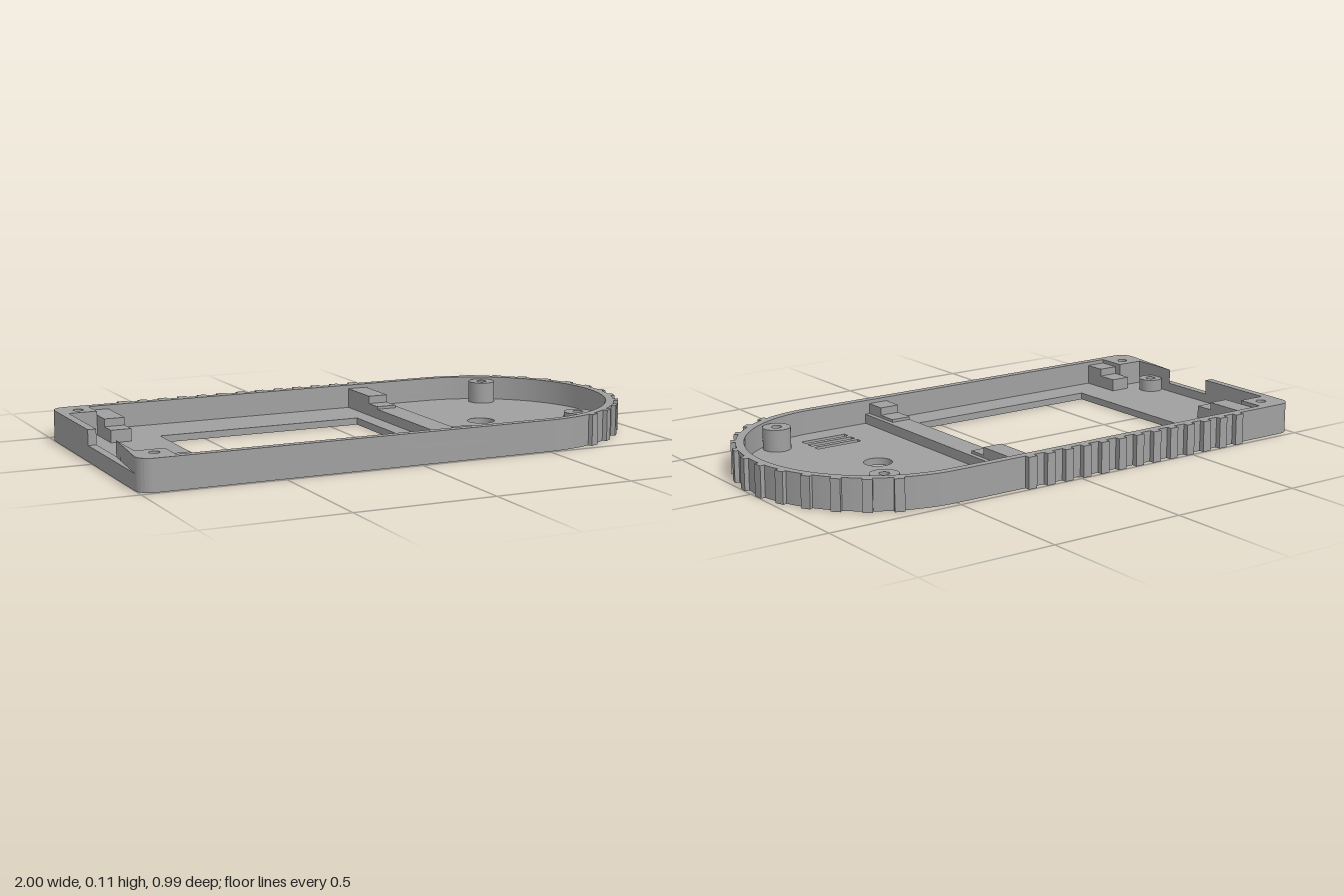
import * as THREE from 'three';
import { toCreasedNormals } from 'three/addons/utils/BufferGeometryUtils.js';

const H = 0.112, FLOOR = 0.025, SKIN = 0.012, NOTCH = 0.057;
const CX = 0.5, CZ = 0.007, R_OUT = 0.484, R_IN = 0.455;
const HALF = Math.PI / 2;

export function createModel() {
  const model = new THREE.Group();
  model.name = 'deviceCaseHalf';
  const grey = new THREE.MeshStandardMaterial({ color: 0xa0a0a0 });
  grey.name = 'grey plastic';

  const add = (name, geometry) => {
    const mesh = new THREE.Mesh(geometry, grey);
    mesh.name = name;
    model.add(mesh);
    return mesh;
  };
  // Plan shapes use (x, -z); they are extruded upward from y0 to y1
  const slab = (name, shape, y0, y1) => {
    const g = new THREE.ExtrudeGeometry(shape, { depth: y1 - y0, bevelEnabled: false, curveSegments: 28 });
    g.rotateX(-HALF).translate(0, y0, 0);
    return add(name, toCreasedNormals(g, 0.5));
  };
  const box = (name, x0, x1, y0, y1, z0, z1) => {
    const m = add(name, new THREE.BoxGeometry(x1 - x0, y1 - y0, z1 - z0));
    m.position.set((x0 + x1) / 2, (y0 + y1) / 2, (z0 + z1) / 2);
    return m;
  };
  const circle = (x, z, r) => new THREE.Path().absarc(x, -z, r, 0, Math.PI * 2, true);
  const rect = (x0, x1, z0, z1) => new THREE.Path([
    [x0, -z0], [x1, -z0], [x1, -z1], [x0, -z1], [x0, -z0],
  ].map(([x, y]) => new THREE.Vector2(x, y)));

  // Outer outline: rounded corners at one end, a half circle at the other
  const s0 = -CZ - R_OUT, s1 = -CZ + R_OUT, i0 = -CZ - R_IN, i1 = -CZ + R_IN;
  const outline = (startY, endY) => {
    const s = new THREE.Shape();
    s.moveTo(-1, startY);
    s.absarc(-0.95, s0 + 0.05, 0.05, Math.PI, 1.5 * Math.PI, false);
    s.absarc(CX, -CZ, R_OUT, -HALF, HALF, false);
    s.absarc(-0.95, s1 - 0.05, 0.05, HALF, Math.PI, false);
    s.lineTo(-1, endY);
    return s;
  };
  // Inner outline, stepping round the two solid corner blocks
  const inner = (path) => {
    path.lineTo(-0.97, 0.35);
    path.lineTo(-0.867, 0.35);
    path.lineTo(-0.867, i1);
    path.lineTo(CX, i1);
    path.absarc(CX, -CZ, R_IN, HALF, -HALF, true);
    path.lineTo(-0.867, i0);
    path.lineTo(-0.867, -0.355);
    path.lineTo(-0.97, -0.355);
    return path;
  };

  // Floor with window, round hole, vent slots and one screw hole
  const floorShape = () => {
    const s = outline(-0.1, 0.1);
    s.holes.push(rect(-0.67, 0.107, -0.24, 0.35), circle(0.5, 0.003, 0.05), circle(-0.935, 0.245, 0.018));
    for (let i = 0; i < 3; i++) s.holes.push(rect(0.405, 0.585, 0.265 + i * 0.045, 0.289 + i * 0.045));
    return s;
  };
  slab('floor', floorShape(), SKIN, FLOOR);

  // Underside skin: same openings plus shallow blind recesses
  const under = floorShape();
  for (const [x, z] of [[-0.92, -0.4], [-0.92, 0.405], [-0.81, -0.36], [-0.81, 0.37],
    [0.2, -0.39], [0.2, 0.4], [0.34, 0.003], [0.66, 0.003]]) under.holes.push(circle(x, z, 0.014));
  for (let i = 0; i < 9; i++) {
    const a = THREE.MathUtils.degToRad(40 + i * 12.5);
    under.holes.push(circle(CX + 0.26 * Math.cos(a), -0.26 * Math.sin(a), 0.013));
  }
  for (let i = 0; i < 8; i++) under.holes.push(rect(-0.95, -0.8, -0.16 + i * 0.045, -0.142 + i * 0.045));
  slab('underside', under, 0, SKIN);

  // Rim: closed lower ring, and an upper ring left open for the end notch
  const lower = outline(-0.1, 0.1);
  const cavity = new THREE.Path();
  cavity.moveTo(-0.97, -0.355);
  lower.holes.push(inner(cavity));
  slab('lowerRim', lower, FLOOR, NOTCH);
  const upper = outline(-0.17, 0.04);
  upper.lineTo(-0.97, 0.04);
  inner(upper);
  upper.lineTo(-0.97, -0.17);
  upper.holes.push(circle(-0.92, -0.4, 0.018), circle(-0.92, 0.405, 0.018));
  slab('upperRim', upper, NOTCH, H);

  // Grip ridges along the back edge
  for (let i = 0; i < 13; i++) {
    const x = -0.725 + i * 0.0775;
    box('backGripRidge', x - 0.017, x + 0.017, 0, H, -0.497, -0.47);
  }
  // Grip ridges round the curved end
  for (let i = 0; i < 12; i++) {
    const a = THREE.MathUtils.degToRad(-66 + i * 12);
    const ridge = add('curvedGripRidge', new THREE.BoxGeometry(0.026, H, 0.034));
    ridge.position.set(CX + 0.487 * Math.cos(a), H / 2, CZ + 0.487 * Math.sin(a));
    ridge.rotation.y = -a;
  }

  // Cross rib and stepped support blocks
  box('crossRib', 0.17, 0.263, FLOOR, 0.06, -0.453, 0.467);
  for (const x of [-0.867, 0.17]) {
    box('backSupport', x, x + 0.075, FLOOR, 0.098, -0.453, -0.267);
    box('backSupportStep', x, x + 0.075, FLOOR, 0.07, -0.267, -0.197);
    box('frontSupport', x, x + 0.075, FLOOR, 0.098, 0.383, 0.467);
    box('frontSupportStep', x, x + 0.075, FLOOR, 0.07, 0.305, 0.383);
  }

  // Screw bosses
  for (const [x, z, r, top] of [[0.697, -0.348, 0.05, 0.104], [0.697, 0.358, 0.05, 0.104], [-0.935, 0.245, 0.044, 0.07]]) {
    const s = new THREE.Shape().absarc(x, -z, r, 0, Math.PI * 2, false);
    s.holes.push(circle(x, z, 0.018));
    slab('screwBoss', s, FLOOR, top);
  }
  return model;
}
